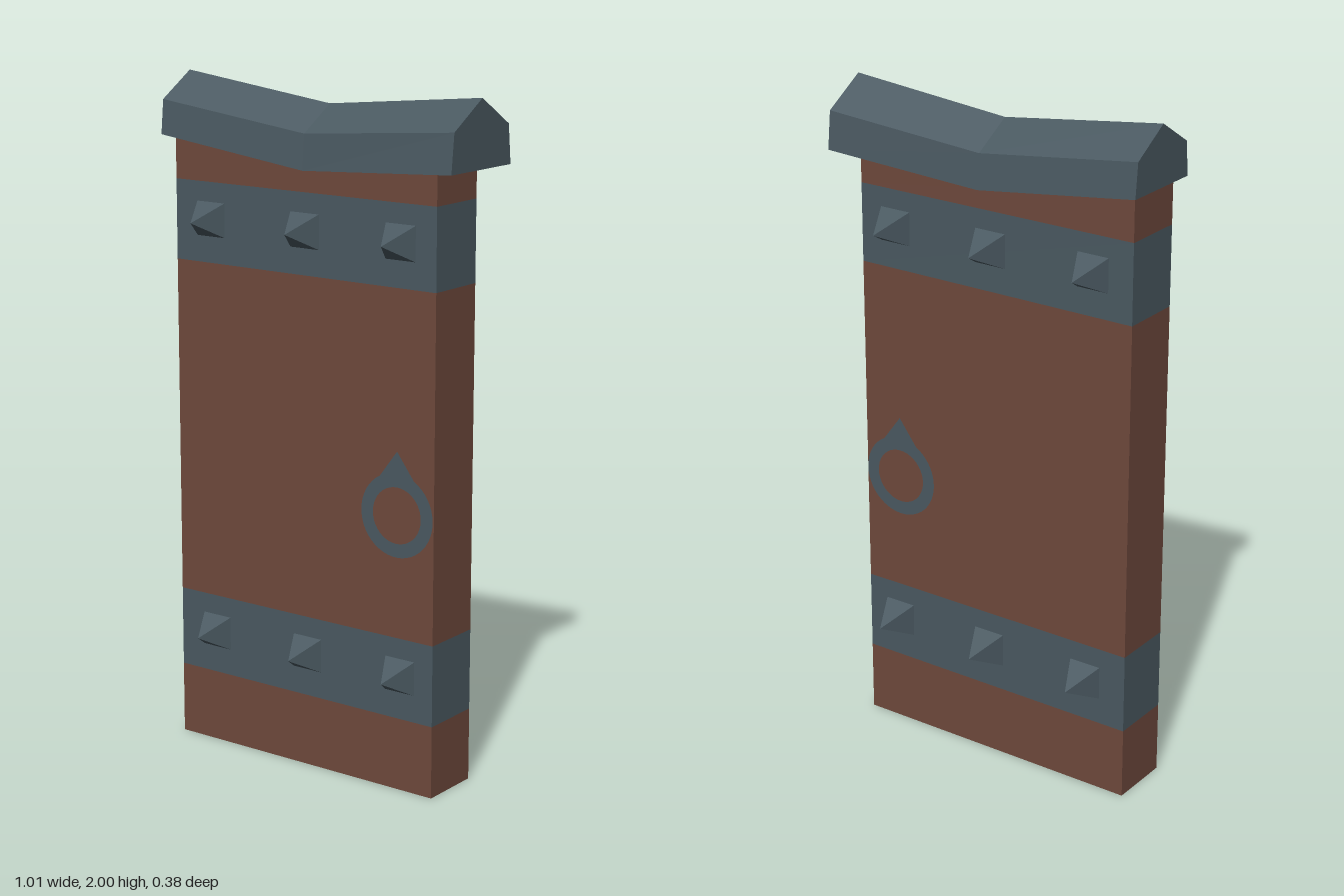
import * as THREE from 'three';

const wood = new THREE.MeshStandardMaterial({ color: 0x6e493c, side: THREE.DoubleSide });
wood.name = 'wood';
const steel = new THREE.MeshStandardMaterial({ color: 0x4a5961, side: THREE.DoubleSide });
steel.name = 'steel';

const X0 = -0.485, X1 = 0.43, ZB = -0.09, ZF = 0.1;

function add(parent, name, geometry, material) {
  const mesh = new THREE.Mesh(geometry, material);
  mesh.name = name;
  parent.add(mesh);
  return mesh;
}

// Faceted normals
function flat(geometry) {
  const g = geometry.index ? geometry.toNonIndexed() : geometry;
  g.computeVertexNormals();
  return g;
}

// Four walls of the door between two heights, open above and below
function wallBand(y0, y1) {
  const g = new THREE.CylinderGeometry(Math.SQRT1_2, Math.SQRT1_2, 1, 4, 1, true);
  g.rotateY(Math.PI / 4);
  g.scale(X1 - X0, y1 - y0, ZF - ZB);
  g.translate((X0 + X1) / 2, (y0 + y1) / 2, (ZF + ZB) / 2);
  return flat(g);
}

// Sagging ridged cap lofted through three five-sided sections
function capGeometry() {
  // x, base y, eave y, ridge y, front base z, front eave z, ridge z, back eave z, back base z
  const stations = [
    [-0.505, 1.825, 1.925, 2.0, 0.14, 0.13, 0.01, -0.11, -0.12],
    [0, 1.76, 1.862, 1.935, 0.133, 0.124, 0.006, -0.115, -0.125],
    [0.505, 1.79, 1.902, 1.982, 0.145, 0.133, 0.001, -0.13, -0.142],
  ];
  const rings = stations.map(([x, b, e, r, fb, fe, rz, be, bb]) =>
    [[x, b, fb], [x, e, fe], [x, r, rz], [x, e, be], [x, b, bb]]);
  const pos = [];
  const tri = (a, b, c) => pos.push(...a, ...b, ...c);
  for (let s = 0; s < 2; s++) {
    for (let i = 0; i < 5; i++) {
      const j = (i + 1) % 5, p = rings[s], q = rings[s + 1];
      tri(p[i], q[i], q[j]);
      tri(p[i], q[j], p[j]);
    }
  }
  const [l, , r] = rings;
  for (let i = 1; i < 4; i++) {
    tri(l[0], l[i], l[i + 1]);
    tri(r[0], r[i + 1], r[i]);
  }
  const g = new THREE.BufferGeometry();
  g.setAttribute('position', new THREE.Float32BufferAttribute(pos, 3));
  return flat(g);
}

// Flat ring handle with a pointed mount
function handleGeometry() {
  const ring = new THREE.Shape();
  const a = Math.PI / 2 - 0.5, R = 0.122;
  ring.moveTo(0, 0.185);
  ring.lineTo(-R * Math.cos(a), R * Math.sin(a));
  ring.absarc(0, 0, R, Math.PI - a, 2 * Math.PI + a, false);
  ring.lineTo(0, 0.185);
  const hole = new THREE.Path();
  hole.absarc(0, 0, 0.082, 0, Math.PI * 2, true);
  ring.holes.push(hole);
  return new THREE.ShapeGeometry(ring, 20);
}

// Four-sided spike pointing along +z, base at z = 0
function spikeGeometry(length) {
  const g = new THREE.ConeGeometry(0.05 * Math.SQRT2, length, 4, 1, true);
  g.rotateY(Math.PI / 4);
  g.translate(0, length / 2, 0);
  g.rotateX(Math.PI / 2);
  return flat(g);
}

export function createModel() {
  const model = new THREE.Group();
  model.name = 'door';

  // Door body: alternating planks and metal straps
  const body = new THREE.Group();
  body.name = 'doorBody';
  model.add(body);
  const heights = [0, 0.215, 0.455, 1.46, 1.695, 1.82];
  for (let i = 0; i < 5; i++) {
    const strap = i % 2 === 1;
    add(body, strap ? 'metalStrap' : 'woodPanel', wallBand(heights[i], heights[i + 1]), strap ? steel : wood);
  }

  add(model, 'cap', capGeometry(), steel);

  // Spikes and ring handle on both faces
  for (const side of [1, -1]) {
    const face = side > 0 ? ZF : ZB;
    const spike = spikeGeometry(0.192 - Math.abs(face));
    for (const [y, shift] of [[1.587, 0], [0.345, 0.007]]) {
      for (const x of [-0.357, -0.018, 0.311]) {
        const m = add(model, 'spike', spike, steel);
        m.position.set(x + shift, y, face);
        if (side < 0) m.rotation.y = Math.PI;
      }
    }
    const handle = add(model, 'ringHandle', handleGeometry(), steel);
    handle.position.set(0.306, 0.815, face + side * 0.003);
    if (side < 0) handle.rotation.y = Math.PI;
  }
  return model;
}
